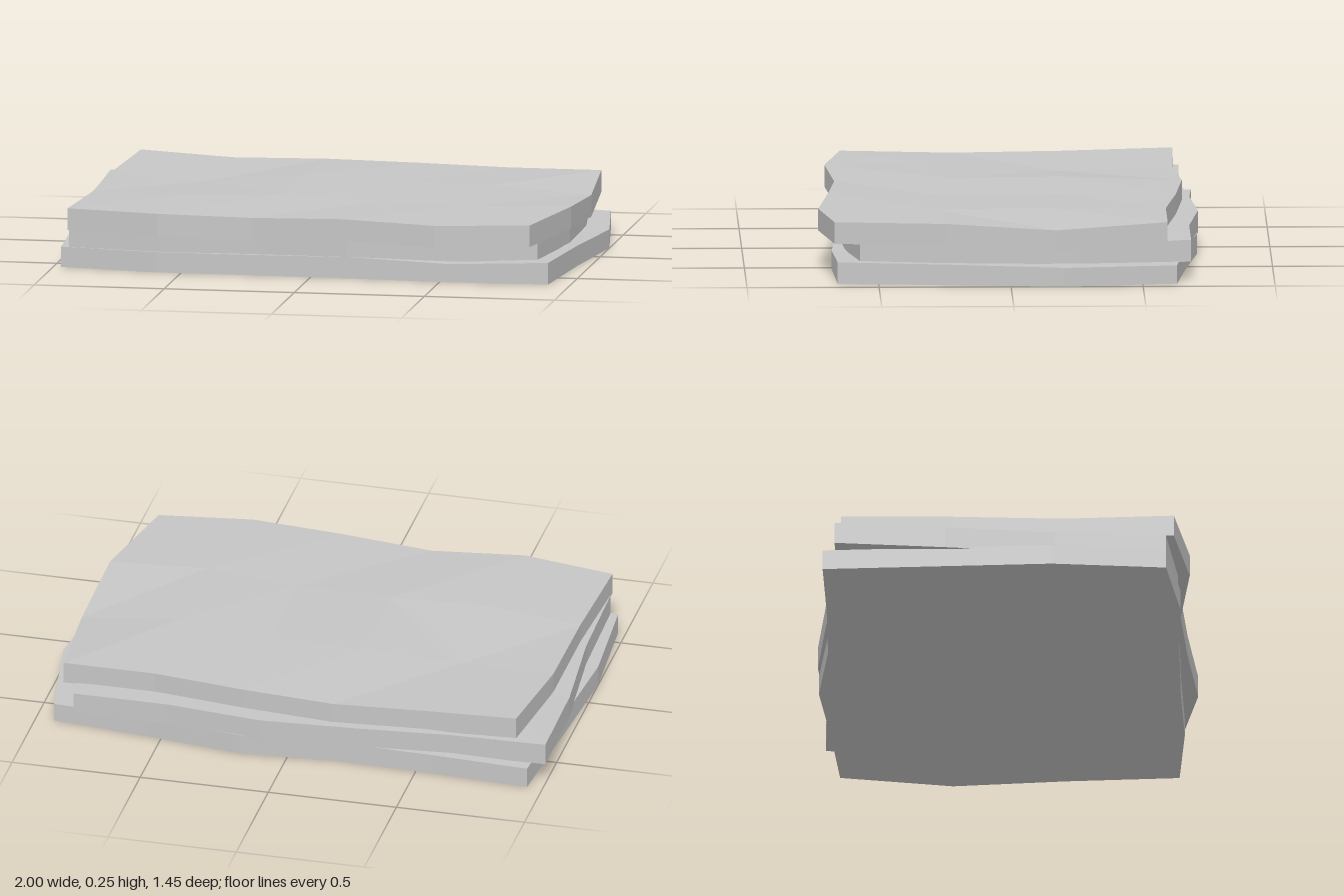
import * as THREE from 'three';

const COLS = 5, ROWS = 3;
const lerp = THREE.MathUtils.lerp;
const id = (i, j) => j * (COLS + 1) + i;

// A wavy slab on a coarse grid. backX and frontX are the corners, backZ and
// frontZ the wavy edges, left and right the x of the two middle rows.
// Bumps raise or lower single grid points: [column, row, amount].
function slabGeometry({ backX, frontX, backZ, frontZ, left, right, level, bumps, thickness, flatBase }) {
  const top = [], base = [];
  for (let j = 0; j <= ROWS; j++) {
    const t = j / ROWS;
    const inner = j > 0 && j < ROWS;
    const x0 = inner ? left[j - 1] : lerp(backX[0], frontX[0], t);
    const x1 = inner ? right[j - 1] : lerp(backX[1], frontX[1], t);
    for (let i = 0; i <= COLS; i++) {
      const x = lerp(x0, x1, i / COLS);
      const z = lerp(backZ[i], frontZ[i], t);
      const bump = bumps.find(([c, r]) => c === i && r === j);
      const y = level + (bump ? bump[2] : 0);
      top.push(x, y, z);
      base.push(x, flatBase ? 0 : y - thickness, z);
    }
  }

  const n = (COLS + 1) * (ROWS + 1);
  const index = [];

  // top and underside; folds near the back left corner meet at one point
  for (let j = 0; j < ROWS; j++) {
    for (let i = 0; i < COLS; i++) {
      const a = id(i, j), b = id(i + 1, j), c = id(i, j + 1), d = id(i + 1, j + 1);
      const fold = i === j && j < 2;
      const tris = fold ? [[a, c, d], [a, d, b]] : [[a, c, b], [b, c, d]];
      for (const [p, q, r] of tris) index.push(p, q, r, p + n, r + n, q + n);
    }
  }

  // walls around the rim
  const rim = [];
  for (let i = 0; i < COLS; i++) rim.push(id(i, 0));
  for (let j = 0; j < ROWS; j++) rim.push(id(COLS, j));
  for (let i = COLS; i > 0; i--) rim.push(id(i, ROWS));
  for (let j = ROWS; j > 0; j--) rim.push(id(0, j));
  rim.forEach((p, k) => {
    const q = rim[(k + 1) % rim.length];
    index.push(p, q, p + n, q, q + n, p + n);
  });

  const indexed = new THREE.BufferGeometry();
  indexed.setAttribute('position', new THREE.Float32BufferAttribute([...top, ...base], 3));
  indexed.setIndex(index);
  const geometry = indexed.toNonIndexed();
  geometry.computeVertexNormals();
  return geometry;
}

export function createModel() {
  const group = new THREE.Group();
  group.name = 'stackedStoneSlabs';
  const stone = new THREE.MeshStandardMaterial({ color: 0xc5c5c5 });
  stone.name = 'grey stone';

  const addSlab = (name, shape) => {
    const mesh = new THREE.Mesh(slabGeometry(shape), stone);
    mesh.name = name;
    group.add(mesh);
  };

  addSlab('bottomSlab', {
    backX: [-0.94, 0.93], frontX: [-0.97, 0.915],
    backZ: [-0.72, -0.7, -0.69, -0.72, -0.67, -0.63],
    frontZ: [0.58, 0.64, 0.64, 0.65, 0.67, 0.655],
    left: [-0.97, -1], right: [1, 0.95],
    level: 0.078, flatBase: true,
    bumps: [[5, 0, -0.008], [5, 1, -0.006], [3, 3, 0.004], [4, 3, -0.008], [5, 3, 0.005]]
  });

  addSlab('middleSlab', {
    backX: [-1, 0.84], frontX: [-0.94, 0.86],
    backZ: [-0.675, -0.665, -0.7, -0.725, -0.685, -0.685],
    frontZ: [0.58, 0.63, 0.62, 0.645, 0.62, 0.57],
    left: [-0.99, -0.95], right: [0.9, 0.91],
    level: 0.154, thickness: 0.083,
    bumps: [[0, 0, 0.011], [5, 1, -0.009], [2, 3, -0.014], [4, 3, -0.006]]
  });

  addSlab('topSlab', {
    backX: [-0.88, 0.9], frontX: [-0.94, 0.845],
    backZ: [-0.65, -0.64, -0.67, -0.64, -0.595, -0.595],
    frontZ: [0.61, 0.675, 0.645, 0.675, 0.72, 0.665],
    left: [-0.92, -0.92], right: [0.935, 0.93],
    level: 0.231, thickness: 0.083,
    bumps: [
      [0, 0, 0.018], [1, 1, -0.02], [2, 1, 0.013], [4, 1, 0.005], [5, 1, -0.025],
      [0, 2, -0.006], [1, 2, 0.004], [2, 2, 0.01], [3, 2, -0.004],
      [2, 3, -0.01], [4, 3, -0.007], [5, 3, -0.005]]
  });

  return group;
}
